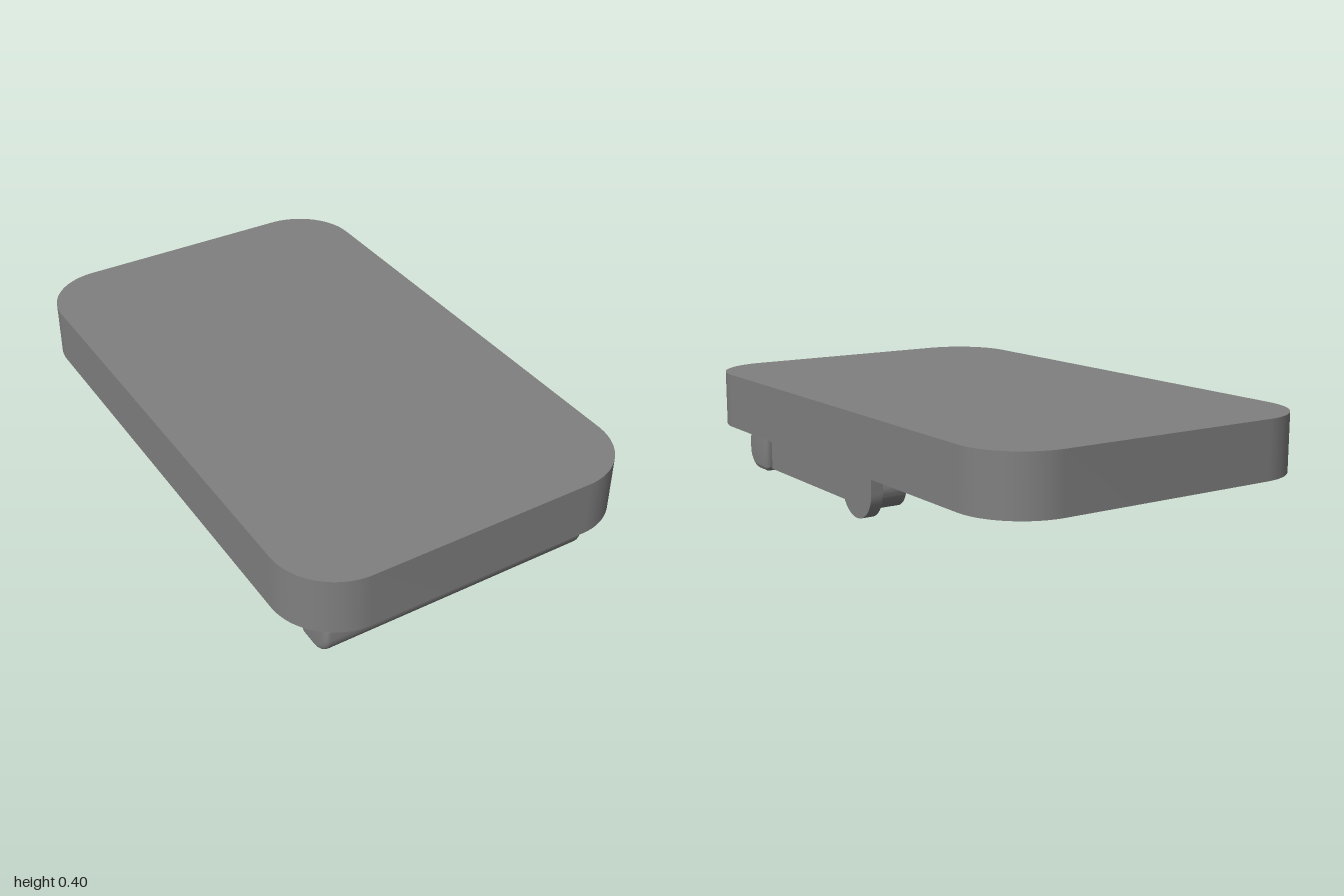
import * as THREE from 'three';
import { toCreasedNormals } from 'three/addons/utils/BufferGeometryUtils.js';

// Rectangle centred on (cx, cy) with its own radius on the low-x and high-x corners
function roundedRect(x0, y0, x1, y1, rLow, rHigh) {
  const s = new THREE.Shape();
  s.moveTo(x0 + rLow, y0);
  s.lineTo(x1 - rHigh, y0);
  s.absarc(x1 - rHigh, y0 + rHigh, rHigh, -Math.PI / 2, 0, false);
  s.lineTo(x1, y1 - rHigh);
  s.absarc(x1 - rHigh, y1 - rHigh, rHigh, 0, Math.PI / 2, false);
  s.lineTo(x0 + rLow, y1);
  s.absarc(x0 + rLow, y1 - rLow, rLow, Math.PI / 2, Math.PI, false);
  s.lineTo(x0, y0 + rLow);
  s.absarc(x0 + rLow, y0 + rLow, rLow, Math.PI, Math.PI * 1.5, false);
  return s;
}

// Extrudes a (z, y) side profile across x, from x0 to x1
function extrudeAcross(shape, x0, x1, bevel = 0) {
  const geo = new THREE.ExtrudeGeometry(shape, {
    depth: x1 - x0 - 2 * bevel,
    curveSegments: 16,
    bevelEnabled: bevel > 0,
    bevelThickness: bevel,
    bevelSize: bevel,
    bevelOffset: -bevel,
    bevelSegments: 5,
  });
  geo.rotateY(-Math.PI / 2);
  geo.translate(x1 - bevel, 0, 0);
  return toCreasedNormals(geo, 0.6);
}

export function createModel() {
  const model = new THREE.Group();
  model.name = 'padWithFoldingHandle';
  const grey = new THREE.MeshStandardMaterial({ color: 0x808080 });
  grey.name = 'grey';

  const add = (name, geometry) => {
    const mesh = new THREE.Mesh(geometry, grey);
    mesh.name = name;
    model.add(mesh);
  };

  // Flat slab with rounded corners
  const slab = new THREE.ExtrudeGeometry(roundedRect(-0.62, -1, 0.62, 1, 0.22, 0.22), {
    depth: 0.2, curveSegments: 20, bevelEnabled: false,
  });
  slab.rotateX(-Math.PI / 2);
  slab.translate(0, 0.2, 0);
  add('slab', toCreasedNormals(slab, 0.6));

  // Hinge bracket: straight sides and a half-round bottom
  const bracket = new THREE.Shape();
  bracket.moveTo(-0.1, 0.2);
  bracket.lineTo(-0.1, 0.1);
  bracket.absarc(0, 0.1, 0.1, Math.PI, Math.PI * 2, false);
  bracket.lineTo(0.1, 0.2);

  // Handle arm: half-round at the hinge, square at the crossbar
  const arm = new THREE.Shape();
  arm.moveTo(0.76, 0.025);
  arm.lineTo(0.76, 0.18);
  arm.lineTo(0, 0.18);
  arm.absarc(0, 0.1025, 0.0775, Math.PI / 2, Math.PI * 1.5, false);

  for (const [side, s] of [['left', 1], ['right', -1]]) {
    const span = (a, b) => (s > 0 ? [a, b] : [-b, -a]);
    add(side + 'HingeBracket', extrudeAcross(bracket, ...span(0.475, 0.52)));
    add(side + 'HandleArm', extrudeAcross(arm, ...span(0.37, 0.475)));
  }

  // Crossbar grip: broad rounding at the front, small fillets elsewhere
  add('handleGrip', extrudeAcross(roundedRect(0.75, 0.015, 0.9, 0.19, 0.022, 0.075), -0.5, 0.5, 0.02));

  return model;
}
